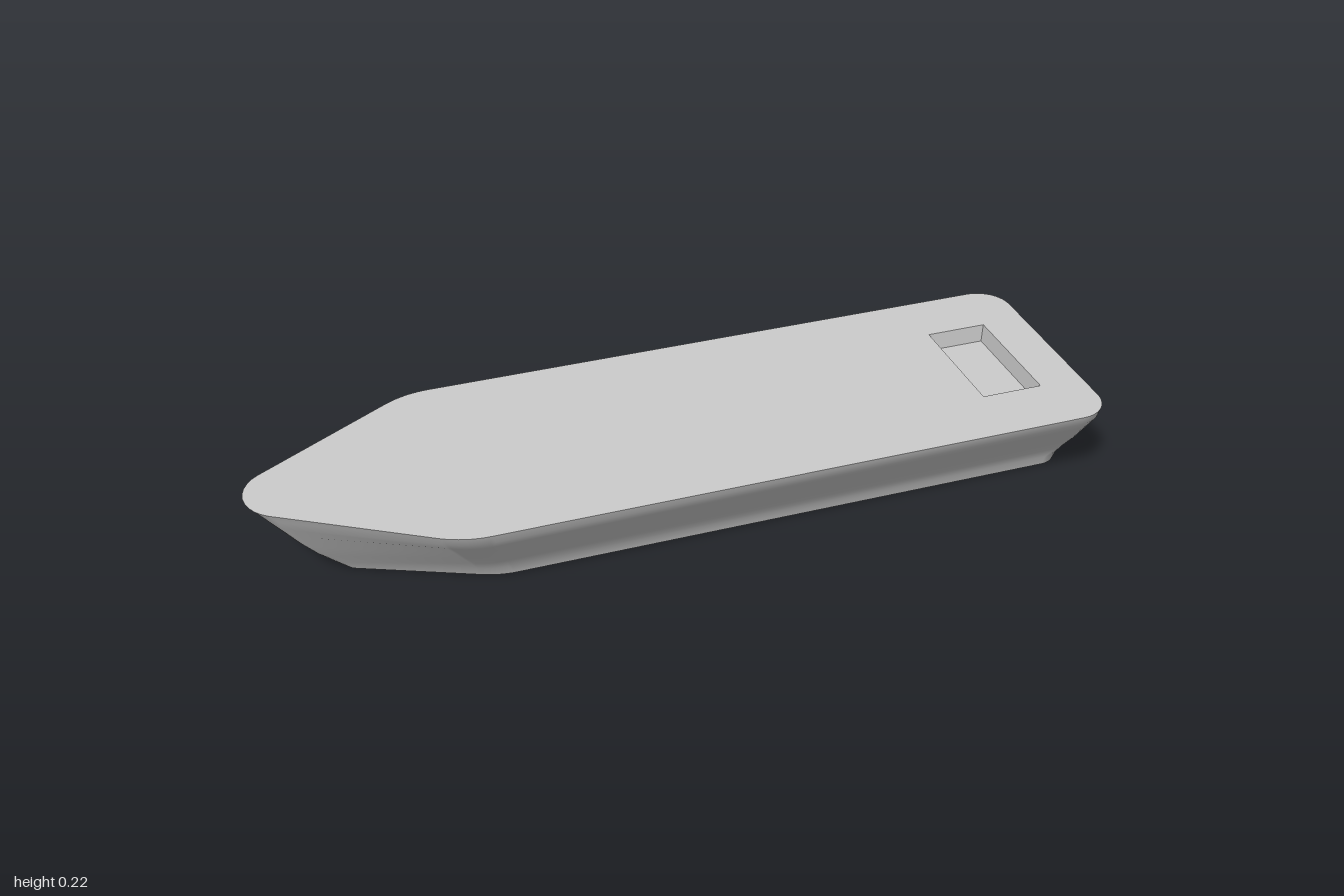
import * as THREE from 'three';

const DECK_Y = 0.222;
const grey = () => new THREE.MeshStandardMaterial({ color: 0xcccccc, side: THREE.DoubleSide });

// Hull levels: height, half width, bow tip x, stern x, shoulder x, then tip / shoulder / stern corner radii
const levels = [
  [0.000, 0.169, -0.800, 0.960, -0.470, 0.040, 0.20, 0.050],
  [0.028, 0.178, -0.832, 0.967, -0.483, 0.047, 0.20, 0.055],
  [0.060, 0.197, -0.867, 0.981, -0.499, 0.056, 0.20, 0.062],
  [0.100, 0.226, -0.903, 0.996, -0.519, 0.066, 0.21, 0.070],
  [0.140, 0.256, -0.934, 0.999, -0.538, 0.076, 0.21, 0.075],
  [0.170, 0.280, -0.958, 1.000, -0.552, 0.083, 0.22, 0.080],
  [0.197, 0.300, -0.979, 1.000, -0.563, 0.090, 0.22, 0.080],
  [DECK_Y, 0.309, -1.000, 1.000, -0.573, 0.096, 0.22, 0.080],
];

// Replace one corner of a polygon with an arc
function fillet(prev, corner, next, radius, steps) {
  const u = prev.clone().sub(corner).normalize();
  const v = next.clone().sub(corner).normalize();
  const half = Math.acos(u.dot(v)) / 2;
  const centre = u.clone().add(v).normalize().multiplyScalar(radius / Math.sin(half)).add(corner);
  const start = u.multiplyScalar(radius / Math.tan(half)).add(corner).sub(centre);
  const sweep = Math.PI - 2 * half;
  return Array.from({ length: steps + 1 }, (_, i) =>
    start.clone().rotateAround(new THREE.Vector2(), (sweep * i) / steps).add(centre));
}

// Rounded five-cornered plan, counter-clockwise
function outline([, w, bow, stern, shoulder, rTip, rShoulder, rStern]) {
  // Find the sharp apex whose rounded tip reaches the bow position
  let apex = bow;
  for (let i = 0; i < 30; i++) {
    const half = Math.atan2(w, shoulder - apex);
    apex = bow - rTip * (1 / Math.sin(half) - 1);
  }
  const corners = [[apex, 0], [shoulder, -w], [stern, -w], [stern, w], [shoulder, w]]
    .map(([x, y]) => new THREE.Vector2(x, y));
  const radii = [rTip, rShoulder, rStern, rStern, rShoulder];
  const n = corners.length;
  return corners.flatMap((c, i) =>
    fillet(corners[(i + n - 1) % n], c, corners[(i + 1) % n], radii[i], 10));
}

// Loft the flared sides through all levels, open at the bottom
function hullGeometry() {
  const rings = levels.map(outline);
  const n = rings[0].length;
  const positions = [];
  const index = [];
  rings.forEach((ring, r) => ring.forEach((p, j) => {
    positions.push(p.x, levels[r][0], -p.y);
    if (r === rings.length - 1) return;
    const a = r * n + j;
    const b = r * n + (j + 1) % n;
    index.push(a, b, b + n, a, b + n, a + n);
  }));
  const geometry = new THREE.BufferGeometry();
  geometry.setAttribute('position', new THREE.Float32BufferAttribute(positions, 3));
  geometry.setIndex(index);
  geometry.computeVertexNormals();
  return geometry;
}

export function createModel() {
  const model = new THREE.Group();
  model.name = 'bargeHull';
  const add = (name, geometry) => {
    const mesh = new THREE.Mesh(geometry, grey());
    mesh.name = name;
    model.add(mesh);
    return mesh;
  };

  add('hullSides', hullGeometry());

  // Flat deck with a rectangular opening near the stern
  const [x0, x1, z0, z1, depth] = [0.737, 0.889, -0.154, 0.15, 0.045];
  const deck = new THREE.Shape(outline(levels[levels.length - 1]));
  deck.holes.push(new THREE.Path([[x0, -z1], [x0, -z0], [x1, -z0], [x1, -z1]]
    .map(([x, y]) => new THREE.Vector2(x, y))));
  add('deck', new THREE.ShapeGeometry(deck).rotateX(-Math.PI / 2).translate(0, DECK_Y, 0));

  // Recessed well: a box without its lid, narrowing slightly to the floor
  const well = new THREE.BoxGeometry(x1 - x0, depth, z1 - z0);
  const faces = Array.from(well.index.array);
  faces.splice(12, 6);
  well.setIndex(faces);
  well.clearGroups();
  const pos = well.attributes.position;
  for (let i = 0; i < pos.count; i++) {
    if (pos.getY(i) > 0) continue;
    pos.setX(i, pos.getX(i) - Math.sign(pos.getX(i)) * 0.004);
    pos.setZ(i, pos.getZ(i) - Math.sign(pos.getZ(i)) * 0.004);
  }
  well.computeVertexNormals();
  add('deckWell', well).position.set((x0 + x1) / 2, DECK_Y - depth / 2, (z0 + z1) / 2);

  return model;
}
